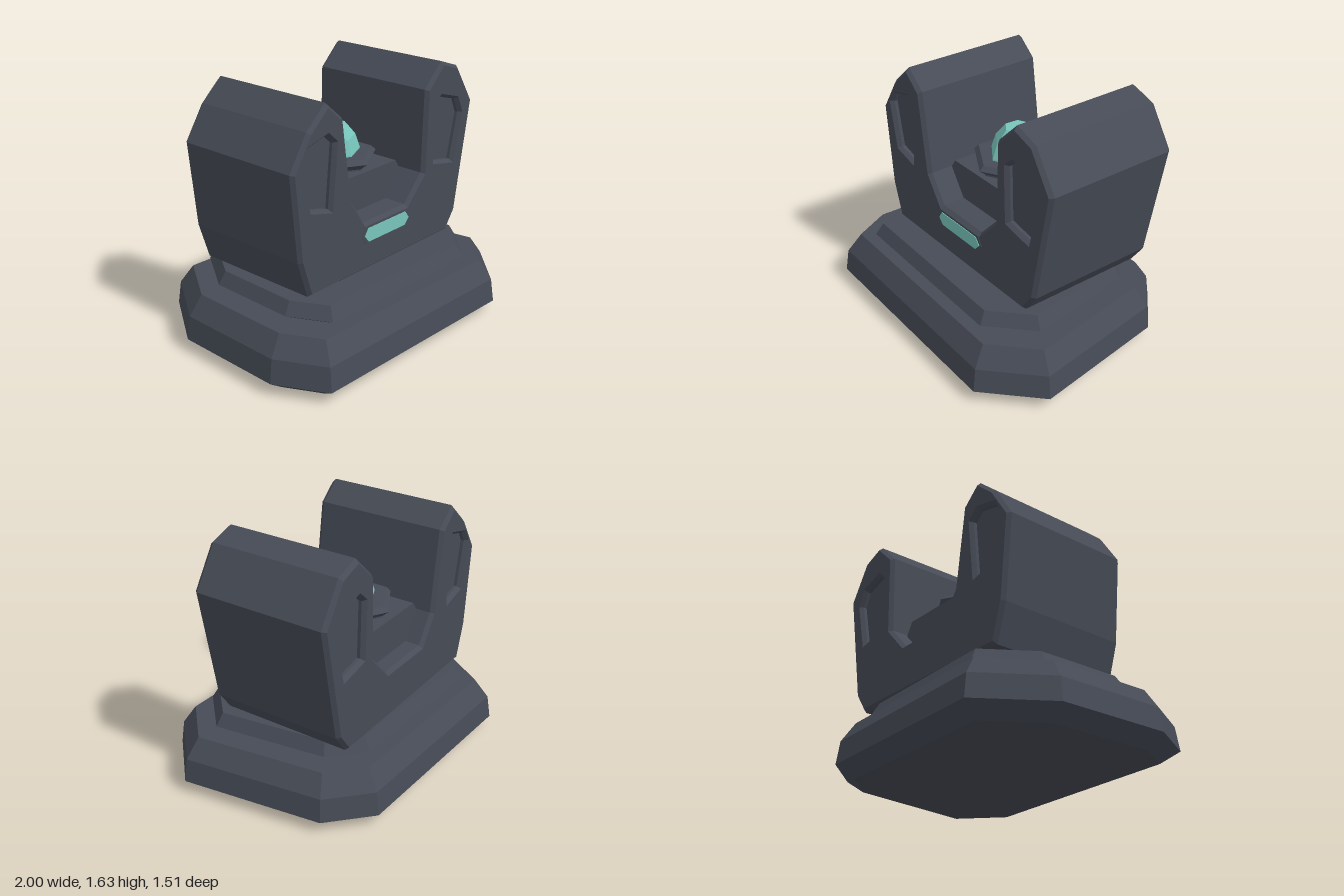
import * as THREE from 'three';

const stone = new THREE.MeshStandardMaterial({ color: 0x464b56 });
stone.name = 'dark slate';
const glow = new THREE.MeshStandardMaterial({ color: 0x78c6bc });
glow.name = 'pale teal';

// Moves every side of a convex [x, z] outline inward by d
function inset(pts, d) {
  const n = pts.length;
  const normal = (a, b) => {
    const dx = b[0] - a[0], dz = b[1] - a[1], l = Math.hypot(dx, dz);
    return [-dz / l, dx / l];
  };
  return pts.map((p, i) => {
    const a = normal(pts[(i + n - 1) % n], p), b = normal(p, pts[(i + 1) % n]);
    const k = d / (1 + a[0] * b[0] + a[1] * b[1]);
    return [p[0] + k * (a[0] + b[0]), p[1] + k * (a[1] + b[1])];
  });
}

function hexagon(cx, cz, r, turn = 0) {
  return Array.from({ length: 6 }, (_, i) => {
    const t = Math.PI / 2 + turn + (i * Math.PI) / 3;
    return [cx + r * Math.cos(t), cz + r * Math.sin(t)];
  });
}

// Faceted solid through stacked outlines, each given as [y, outline]
function loft(layers) {
  const pos = [], n = layers[0][1].length, last = layers.length - 1;
  const at = (k, i) => [layers[k][1][i % n][0], layers[k][0], layers[k][1][i % n][1]];
  const tri = (...v) => v.forEach(p => pos.push(...p));
  for (let k = 0; k < last; k++) {
    for (let i = 0; i < n; i++) {
      tri(at(k, i + 1), at(k, i), at(k + 1, i));
      tri(at(k, i + 1), at(k + 1, i), at(k + 1, i + 1));
    }
  }
  for (let i = 1; i < n - 1; i++) {
    tri(at(0, 0), at(0, i), at(0, i + 1));
    tri(at(last, 0), at(last, i + 1), at(last, i));
  }
  const g = new THREE.BufferGeometry();
  g.setAttribute('position', new THREE.Float32BufferAttribute(pos, 3));
  g.computeVertexNormals();
  return g;
}

const toPoints = pts => pts.map(p => new THREE.Vector2(p[0], p[1]));

// Extrudes an [x, y] outline between two z values, with an optional chamfer
function slab(pts, z0, z1, bevel = 0, thick = 0, holes = []) {
  const shape = new THREE.Shape(toPoints(pts));
  holes.forEach(h => shape.holes.push(new THREE.Path(toPoints(h))));
  const g = new THREE.ExtrudeGeometry(shape, {
    depth: z1 - z0 - 2 * thick, bevelEnabled: bevel > 0, bevelSize: bevel,
    bevelThickness: thick, bevelOffset: -bevel, bevelSegments: 1,
  });
  return g.translate(0, 0, z0 + thick);
}

export function createModel() {
  const group = new THREE.Group();
  const add = (name, geometry, material = stone) => {
    const mesh = new THREE.Mesh(geometry, material);
    mesh.name = name;
    group.add(mesh);
  };

  // Irregular eight-sided plinth and the smaller step on it
  const outline = [[-0.7, -0.76], [0.62, -0.71], [0.87, -0.47], [1, 0.44],
    [0.68, 0.75], [-0.84, 0.71], [-1, 0.39], [-0.98, -0.34]];
  const step = outline.map(([x, z]) => [x * 0.79, z * 0.79]);
  add('plinth', loft([[0, inset(outline, 0.11)], [0.08, outline],
    [0.23, inset(outline, 0.02)], [0.355, inset(outline, 0.1)]]));
  add('step', loft([[0.35, inset(step, 0.075)], [0.395, step], [0.475, inset(step, 0.045)]]));

  // Two-pronged body with chamfered recesses through the prongs
  const leftProngPanel = [[0.495, 1.353], [0.553, 1.406], [0.714, 1.358],
    [0.757, 1.262], [0.687, 0.963], [0.505, 1.0]];
  const rightProngPanel = [[-0.68, 1.3], [-0.645, 1.365], [-0.49, 1.405],
    [-0.43, 1.35], [-0.468, 0.963], [-0.62, 1.005]];
  const profile = [[-0.645, 0.475], [0.655, 0.475], [0.745, 0.6], [0.88, 1.33],
    [0.72, 1.575], [0.56, 1.63], [0.405, 1.48], [0.388, 0.95], [0.23, 0.785],
    [-0.16, 0.785], [-0.28, 0.96], [-0.355, 1.48], [-0.49, 1.595],
    [-0.64, 1.46], [-0.775, 1.25], [-0.72, 0.71]];
  add('body', slab(profile, -0.52, 0.37, 0.02, 0.025, [leftProngPanel, rightProngPanel]));
  add('leftRecessPanel', slab(leftProngPanel, -0.475, 0.325));
  add('rightRecessPanel', slab(rightProngPanel, -0.475, 0.325));

  // Glowing slit on the front
  add('slitRim', slab([[-0.2, 0.705], [-0.17, 0.765], [0.225, 0.765],
    [0.26, 0.705], [0.215, 0.655], [-0.165, 0.655]], 0.369, 0.373));
  add('slit', slab([[-0.175, 0.705], [-0.145, 0.75], [0.205, 0.75],
    [0.24, 0.705], [0.2, 0.662], [-0.14, 0.662]], 0.37, 0.377), glow);

  // Block in the channel between the prongs
  add('centreBlock', slab([[-0.16, 0.76], [0.23, 0.76], [0.375, 0.925],
    [0.32, 1.015], [-0.24, 1.015], [-0.285, 0.95]], -0.4, 0.2));

  // Hexagonal collar and the faceted dome in it
  const collar = r => hexagon(0.03, -0.09, r);
  add('collar', loft([[1.01, collar(0.255)], [1.025, collar(0.255)],
    [1.062, collar(0.3)], [1.092, collar(0.27)]]));
  const dome = r => hexagon(0.03, -0.085, r, 0.09);
  add('dome', loft([[1.08, dome(0.187)], [1.1, dome(0.185)],
    [1.19, dome(0.155)], [1.272, dome(0.088)]]), glow);

  return group;
}
